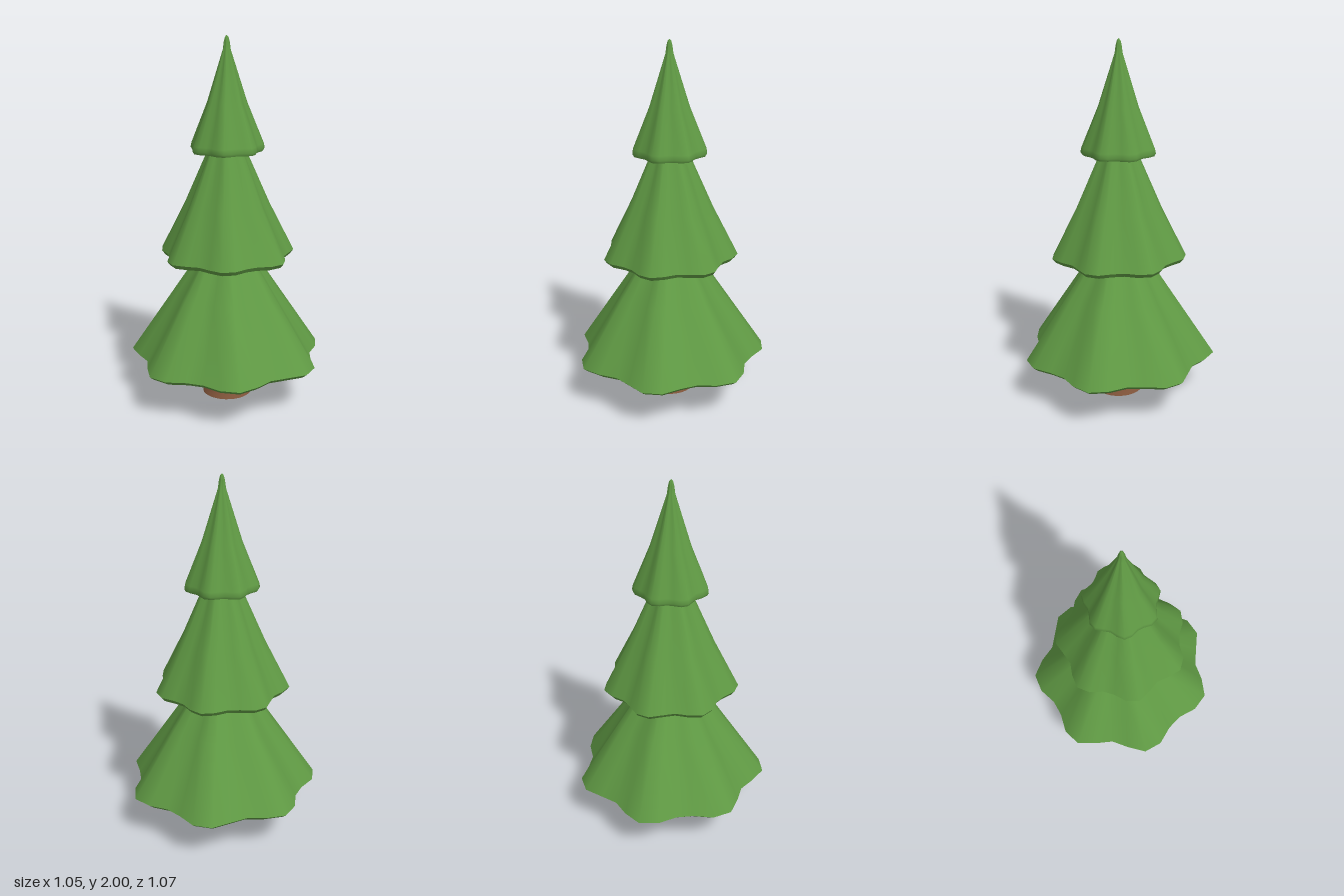
import * as THREE from 'three';
import { mergeVertices } from 'three/addons/utils/BufferGeometryUtils.js';

const SIDES = 32;

// Lathe whose radius swells into lobes; seam is welded for smooth normals
function lobedLathe(profile, lobes = 0, depth = 0, phase = 0) {
  const lathe = new THREE.LatheGeometry(profile.map(([r, y]) => new THREE.Vector2(r, y)), SIDES);
  const p = lathe.attributes.position;
  for (let i = 0; i < p.count; i++) {
    const angle = Math.atan2(-p.getZ(i), p.getX(i));
    const s = 1 + depth * Math.cos(lobes * angle + phase);
    p.setXYZ(i, p.getX(i) * s, p.getY(i), p.getZ(i) * s);
  }
  lathe.deleteAttribute('uv');
  lathe.deleteAttribute('normal');
  const welded = mergeVertices(lathe, 1e-5);
  welded.computeVertexNormals();
  return welded;
}

export function createModel() {
  const needles = new THREE.MeshStandardMaterial({ name: 'needle green', color: 0x609a44 });
  const shade = new THREE.MeshStandardMaterial({ name: 'deep green', color: 0x3f7a3f });
  const bark = new THREE.MeshStandardMaterial({ name: 'bark brown', color: 0x7f5339 });

  const tree = new THREE.Group();
  tree.name = 'pineTree';

  const add = (parent, name, geometry, material) => {
    const mesh = new THREE.Mesh(geometry, material);
    mesh.name = name;
    parent.add(mesh);
  };

  // Trunk with flared foot
  add(tree, 'trunk', lobedLathe([
    [0.138, 0], [0.132, 0.012], [0.115, 0.04], [0.104, 0.08], [0.094, 0.115], [0.091, 0.16], [0.09, 0.32],
  ]), bark);
  const foot = new THREE.CircleGeometry(0.138, SIDES).rotateX(Math.PI / 2);
  add(tree, 'trunkBase', foot, bark);

  // Three skirts of foliage: [radius, y] points, rim upward to the apex
  const tiers = [
    { name: 'lowerTier', lip: [0.48, 0.215], cone: [[0.505, 0.237], [0.278, 0.6], [0.147, 0.81], [0, 1.045]] },
    { name: 'middleTier', lip: [0.333, 0.803], cone: [[0.35, 0.826], [0.22, 1.1], [0.1, 1.39], [0, 1.62]] },
    {
      name: 'topTier', lip: [0.183, 1.39], roundLip: true,
      cone: [[0.191, 1.405], [0.186, 1.43], [0.102, 1.65], [0.02, 1.925], [0.015, 1.965], [0.009, 1.99], [0, 2]],
    },
  ];
  tiers.forEach(({ name, lip, cone, roundLip }, i) => {
    const tier = new THREE.Group();
    tier.name = name;
    const lobed = (profile) => lobedLathe(profile, 7, 0.08, i * 0.8);
    if (roundLip) {
      add(tier, 'canopy', lobed([lip, ...cone]), needles);
    } else {
      add(tier, 'canopy', lobed(cone), needles);
      add(tier, 'rim', lobed([lip, cone[0]]), needles);
    }
    // Shallow hollow beneath
    add(tier, 'underside', lobed([[0, lip[1] + 0.075], lip]), shade);
    tree.add(tier);
  });

  tree.position.x = -0.025;
  const model = new THREE.Group();
  model.name = 'model';
  model.add(tree);
  return model;
}
